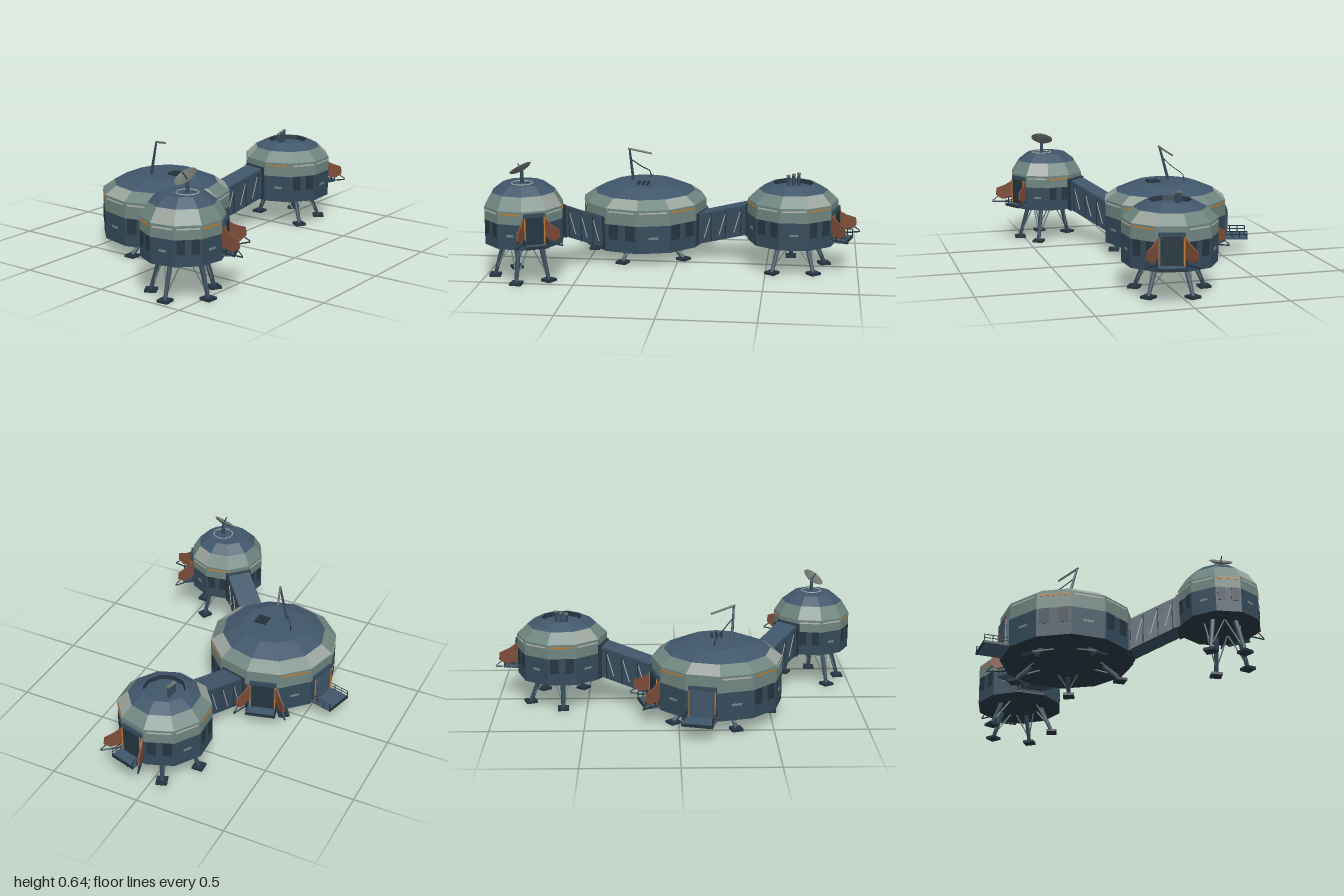
import * as THREE from 'three';

const mat = (name, color) => Object.assign(new THREE.MeshStandardMaterial({ color }), { name });
const M = {
  roof: mat('slate blue roof', 0x40566a),
  wall: mat('dark slate wall', 0x344a5a),
  dark: mat('deep slate panel', 0x25343f),
  green: mat('grey green cladding', 0x6f857f),
  light: mat('pale grey cladding', 0x9aa29c),
  pale: mat('pale trim', 0xb4b6ae),
  rust: mat('rust door', 0x7d4c38),
  orange: mat('orange trim', 0xc07a2c),
  grey: mat('dish grey', 0x6d736f),
};
M.grey.side = THREE.DoubleSide;
const rad = THREE.MathUtils.degToRad;
const V = (x, y, z) => new THREE.Vector3(x, y, z);

function add(parent, name, geo, material, x = 0, y = 0, z = 0) {
  const m = new THREE.Mesh(geo, material);
  m.name = name;
  m.position.set(x, y, z);
  parent.add(m);
  return m;
}
const box = (parent, name, material, w, h, d, x, y, z) =>
  add(parent, name, new THREE.BoxGeometry(w, h, d), material, x, y, z);

// straight bar between two points
function bar(parent, name, material, a, b, r, sides = 6, r2 = r) {
  const d = b.clone().sub(a);
  const m = add(parent, name, new THREE.CylinderGeometry(r2, r, d.length(), sides), material);
  m.position.copy(a).add(b).multiplyScalar(0.5);
  m.quaternion.setFromUnitVectors(V(0, 1, 0), d.normalize());
  return m;
}

// group whose +x points outward at the given plan angle
function facing(parent, name, deg) {
  const g = new THREE.Group();
  g.name = name;
  g.rotation.y = -rad(deg);
  parent.add(g);
  return g;
}

// faceted shell from [radius, height] rings, one material per facet
function shell(parent, rings, n, faceDeg, pick) {
  const sets = new Map();
  const pt = ([r, y], i) => {
    const a = rad(faceDeg + (i - 0.5) * 360 / n);
    return [r * Math.cos(a), y, r * Math.sin(a)];
  };
  for (let k = 0; k < rings.length - 1; k++) for (let i = 0; i < n; i++) {
    const material = pick(k, i);
    if (!sets.has(material)) sets.set(material, []);
    const p = sets.get(material), lo = rings[k], hi = rings[k + 1];
    const a = pt(lo, i), b = pt(lo, i + 1), c = pt(hi, i + 1), d = pt(hi, i);
    if (hi[0] > 0) p.push(...a, ...d, ...c);
    if (lo[0] > 0) p.push(...a, ...c, ...b);
  }
  for (const [material, p] of sets) {
    const g = new THREE.BufferGeometry();
    g.setAttribute('position', new THREE.Float32BufferAttribute(p, 3));
    g.computeVertexNormals();
    add(parent, 'pod ' + material.name, g, material);
  }
}

function pod(root, o) {
  const g = new THREE.Group();
  g.name = o.name;
  g.position.set(o.x, 0, o.z);
  root.add(g);
  const { n, R, face, y0, yBand, yWall, ySlope, yTop } = o;
  const rings = [[0, y0], [R, y0], [R, yBand], [R, yWall], [o.rSlope, ySlope], [o.rTop, yTop]];
  if (o.recess) rings.push([o.rTop * 0.93, yTop], [o.rTop * 0.9, yTop - o.recess], [0, yTop - o.recess]);
  else rings.push([0, yTop]);
  const bands = [M.dark, M.wall, M.green, M.green, M.roof, M.roof, M.dark, M.roof];
  shell(g, rings, n, face, (k, i) => (k === 3 && o.lightPanels.includes(i) ? M.light : bands[k]));

  // wall details on every free face
  const ap = R * Math.cos(Math.PI / n), w = 2 * R * Math.sin(Math.PI / n);
  for (let i = 0; i < n; i++) {
    if (o.busy.includes(i)) continue;
    const f = facing(g, 'wall face', face + i * 360 / n);
    box(f, 'trim strip', i % 3 === 1 ? M.orange : M.pale, 0.006, 0.007, w * 0.85, ap, yWall - 0.017, 0);
    if (i % 2) {
      const h = (yBand - y0) * 0.55;
      for (const s of [-1, 1])
        box(f, 'wall panel', M.dark, 0.006, h, w * 0.3, ap, yBand - h / 2, s * w * 0.27);
    } else box(f, 'small label plate', M.green, 0.006, 0.012, w * 0.3, ap, y0 + (yBand - y0) * 0.55, 0);
  }

  // splayed legs with braces and foot pads
  for (const deg of o.legs) {
    const f = facing(g, 'leg', deg);
    bar(f, 'legStrut', M.wall, V(o.foot, 0.01, 0), V(o.hip, y0 + 0.005, 0), 0.011, 6, 0.014);
    for (const s of [-1, 1])
      bar(f, 'legBrace', M.green, V(o.foot - 0.01, 0.035, 0), V(o.hip * 0.8, y0 + 0.005, s * 0.055), 0.004, 5);
    box(f, 'footPad', M.dark, 0.06, 0.014, 0.06, o.foot, 0.007, 0);
  }
  return { g, ap, w };
}

// doorway with porch, railings and two open leaves
function entrance(p, deg, y, depth, width, leaves) {
  const f = facing(p.g, 'entrance', deg), { ap } = p, h = 0.15, hw = width / 2;
  box(f, 'doorFrame', M.wall, 0.03, h + 0.02, width * 0.9, ap, y + h / 2 + 0.01, 0);
  box(f, 'door', leaves ? M.dark : M.roof, 0.008, h, width * 0.72, ap + 0.015, y + h / 2, 0);
  box(f, 'porch', M.roof, depth, 0.012, width, ap + depth / 2, y, 0);
  box(f, 'porchEdge', M.dark, 0.006, 0.016, width, ap + depth, y, 0);
  for (const s of [-1, 1]) {
    const z = s * hw;
    box(f, 'frameTrim', M.orange, 0.006, h, 0.006, ap + 0.016, y + h / 2, s * width * 0.42);
    for (let k = 1; k <= 3; k++)
      bar(f, 'railPost', M.dark, V(ap + depth * k / 3, y, z * 0.97), V(ap + depth * k / 3, y + 0.04, z * 0.97), 0.0025, 4);
    for (const r of [0.022, 0.04])
      bar(f, 'rail', M.dark, V(ap, y + r, z * 0.97), V(ap + depth, y + r, z * 0.97), 0.0025, 4);
    if (!leaves) continue;
    const leaf = new THREE.Group();
    leaf.name = 'doorLeaf';
    leaf.position.set(ap, y + 0.04, z * 0.88);
    leaf.rotation.y = -s * rad(32);
    f.add(leaf);
    const shape = new THREE.Shape([[0, 0], [0.075, -0.012], [0.11, 0.015], [0.105, 0.055], [0.05, 0.075], [0, 0.105]]
      .map(([a, b]) => new THREE.Vector2(a, b)));
    add(leaf, 'leafPanel', new THREE.ExtrudeGeometry(shape, { depth: 0.008, bevelEnabled: false }), M.rust, 0, 0, -0.004);
    bar(leaf, 'leafArm', M.dark, V(0, -0.03, 0), V(0.13, -0.025, 0), 0.004, 5);
    bar(leaf, 'leafBrace', M.dark, V(0.005, 0.075, 0), V(0.13, -0.02, 0), 0.003, 5);
  }
}

// sloped passage from the hub along a plan angle
function passage(hub, deg, from, to, yA, yB, h) {
  const f = facing(hub.g, 'passage', deg), L = to - from, mid = (from + to) / 2, w = 0.136;
  const slope = (yB - yA) / L, yc = (yA + yB) / 2 + h / 2;
  const sheared = (lx, ly, lz) => {
    let geo = new THREE.BoxGeometry(lx, ly, lz);
    const p = geo.attributes.position;
    for (let i = 0; i < p.count; i++) p.setY(i, p.getY(i) + slope * p.getX(i));
    geo = geo.toNonIndexed();
    geo.computeVertexNormals();
    return geo;
  };
  add(f, 'passageBody', sheared(L + 0.04, h, w), M.wall, mid, yc, 0);
  add(f, 'passageRoof', sheared(L + 0.03, 0.006, w - 0.006), M.roof, mid, yc + h / 2 + 0.001, 0);
  for (const e of [-1, 1])
    add(f, 'collar', sheared(0.025, h + 0.014, w + 0.014), M.dark, mid + e * L * 0.48, yc + slope * e * L * 0.48, 0);
  for (const s of [-1, 1]) for (const k of [-0.28, 0, 0.28]) {
    const x = mid + k * L, y = yc + slope * k * L, z = s * (w / 2 + 0.002);
    bar(f, 'sideStrut', M.pale, V(x - 0.018, y - h * 0.36, z), V(x + 0.018, y + h * 0.36, z), 0.003, 4);
    bar(f, 'sideSeam', M.dark, V(x + 0.022, y - h * 0.45, z), V(x + 0.022, y + h * 0.48, z), 0.003, 4);
  }
}

export function createModel() {
  const root = new THREE.Group();
  root.name = 'outpost';

  const hub = pod(root, { name: 'centralPod', x: -0.21, z: -0.217, n: 12, R: 0.353, face: 15,
    y0: 0.075, yBand: 0.23, yWall: 0.32, ySlope: 0.365, yTop: 0.41, rSlope: 0.288, rTop: 0.18,
    lightPanels: [1, 3, 6, 9], busy: [0, 4, 9, 11], legs: [36, 108, 180, 252, 324], foot: 0.295, hip: 0.2 });
  const dishPod = pod(root, { name: 'antennaPod', x: -0.785, z: 0.357, n: 10, R: 0.215, face: -45,
    y0: 0.2, yBand: 0.335, yWall: 0.405, ySlope: 0.475, yTop: 0.52, rSlope: 0.172, rTop: 0.113,
    lightPanels: [2, 6], busy: [0, 3], legs: [30, 95, 175, 240], foot: 0.165, hip: 0.11 });
  const ventPod = pod(root, { name: 'ventPod', x: 0.64, z: 0.018, n: 10, R: 0.248, face: 15,
    y0: 0.155, yBand: 0.305, yWall: 0.385, ySlope: 0.44, yTop: 0.476, rSlope: 0.19, rTop: 0.12, recess: 0.025,
    lightPanels: [1, 6], busy: [0, 5], legs: [-93, -21, 51, 123], foot: 0.19, hip: 0.125 });

  passage(hub, 15, 0.335, 0.65, 0.085, 0.175, 0.17);
  passage(hub, 135, 0.335, 0.612, 0.085, 0.205, 0.172);
  entrance(hub, -75, 0.09, 0.13, 0.165, false);
  entrance(hub, -15, 0.09, 0.08, 0.165, true);
  entrance(dishPod, 63, 0.225, 0.06, 0.125, true);
  entrance(ventPod, 15, 0.185, 0.085, 0.15, true);

  // dish on its mast
  const dish = new THREE.Group();
  dish.name = 'dish';
  dish.position.set(-0.785, 0.587, 0.385);
  dish.quaternion.setFromUnitVectors(V(0, 1, 0), V(-0.5, 0.8, -0.25).normalize());
  root.add(dish);
  const curve = [[0, 0], [0.03, 0.003], [0.05, 0.009], [0.064, 0.018]].map(([a, b]) => new THREE.Vector2(a, b));
  add(dish, 'dishBowl', new THREE.LatheGeometry(curve, 20), M.grey);
  bar(dish, 'dishFeed', M.dark, V(0, 0, 0), V(0, 0.045, 0), 0.003, 5);
  bar(root, 'dishMast', M.wall, V(-0.785, 0.515, 0.385), V(-0.785, 0.587, 0.385), 0.011, 8, 0.008);
  const ring = add(root, 'mastRing', new THREE.TorusGeometry(0.056, 0.003, 4, 20), M.pale, -0.785, 0.521, 0.385);
  ring.rotation.x = Math.PI / 2;

  // crane mast with arm and cable on the hub roof
  bar(root, 'craneMast', M.wall, V(-0.285, 0.405, -0.26), V(-0.298, 0.6, -0.21), 0.009, 6, 0.006);
  bar(root, 'craneArm', M.grey, V(-0.305, 0.6, -0.207), V(-0.175, 0.565, -0.25), 0.006, 5);
  const cable = new THREE.CatmullRomCurve3([V(-0.293, 0.535, -0.227), V(-0.24, 0.485, -0.275), V(-0.195, 0.445, -0.322), V(-0.19, 0.408, -0.326)]);
  add(root, 'craneCable', new THREE.TubeGeometry(cable, 10, 0.003, 4), M.dark);

  // roof slots on the hub and chimneys on the vent pod
  for (const i of [-1, 0, 1]) {
    box(root, 'roofSlot', M.dark, 0.012, 0.014, 0.07, -0.21 + i * 0.026, 0.415, -0.145);
    const x = 0.64 + i * 0.028, top = 0.51 + i * 0.007;
    add(root, 'chimney', new THREE.CylinderGeometry(0.009, 0.009, top - 0.45, 8), M.wall, x, (top + 0.45) / 2, -0.025);
    add(root, 'chimneyCap', new THREE.CylinderGeometry(0.011, 0.011, 0.008, 8), M.grey, x, top, -0.025);
  }
  return root;
}
